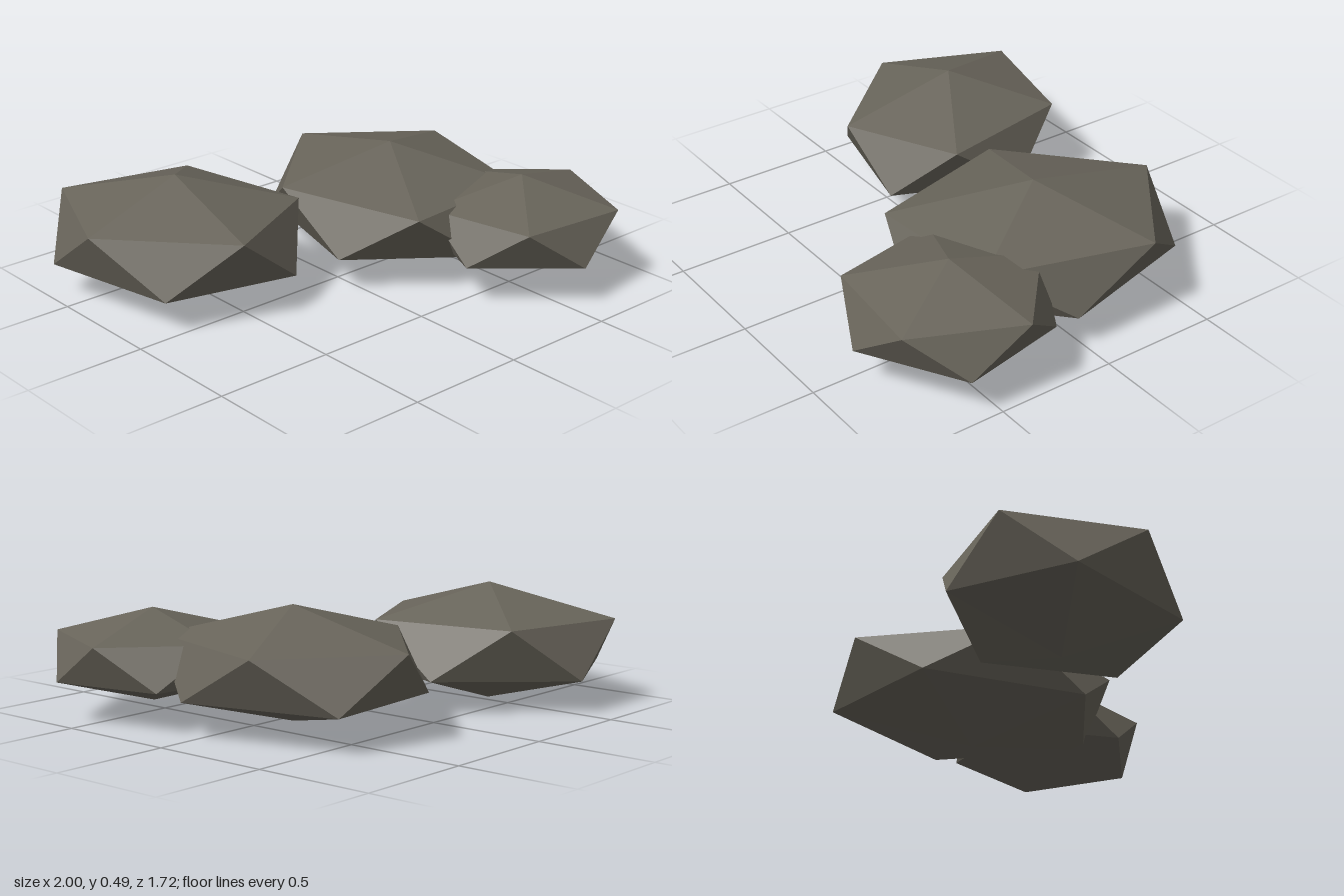
import * as THREE from 'three';

const stone = new THREE.MeshStandardMaterial({ color: 0x68645a, flatShading: true });
stone.name = 'dark stone';

// Squashed icosahedron standing on a point. a and b are the [x, z] axes of its
// stretched five-sided rings, h is its half height.
function makeRock(name, [x, y, z], h, a, b) {
  const ringY = h / Math.sqrt(5);
  const ring = (offset, py) => Array.from({ length: 5 }, (_, k) => {
    const t = (k + offset) * Math.PI * 2 / 5;
    const c = Math.cos(t), s = Math.sin(t);
    return [a[0] * c + b[0] * s, py, a[1] * c + b[1] * s];
  });
  const upper = ring(0, ringY), lower = ring(0.5, -ringY);
  const top = [0, h, 0], bottom = [0, -h, 0];

  const points = [];
  for (let k = 0; k < 5; k++) {
    const n = (k + 1) % 5;
    points.push(
      top, upper[n], upper[k],
      upper[n], lower[k], upper[k],
      upper[n], lower[n], lower[k],
      bottom, lower[k], lower[n],
    );
  }
  const geometry = new THREE.BufferGeometry();
  geometry.setAttribute('position', new THREE.Float32BufferAttribute(points.flat(), 3));
  geometry.computeVertexNormals();

  const mesh = new THREE.Mesh(geometry, stone);
  mesh.name = name;
  mesh.position.set(x, y, z);
  return mesh;
}

export function createModel() {
  const group = new THREE.Group();
  group.name = 'rocks';
  group.add(
    makeRock('rightRock', [-0.547, 0.248, -0.364], 0.245, [-0.236, -0.468], [0.4, -0.199]),
    makeRock('largeRock', [0.385, 0.249, -0.104], 0.231, [0.011, -0.584], [0.502, -0.042]),
    makeRock('smallFrontRock', [0.6, 0.249, 0.456], 0.189, [0.044, -0.401], [0.402, 0.04]),
  );
  return group;
}
